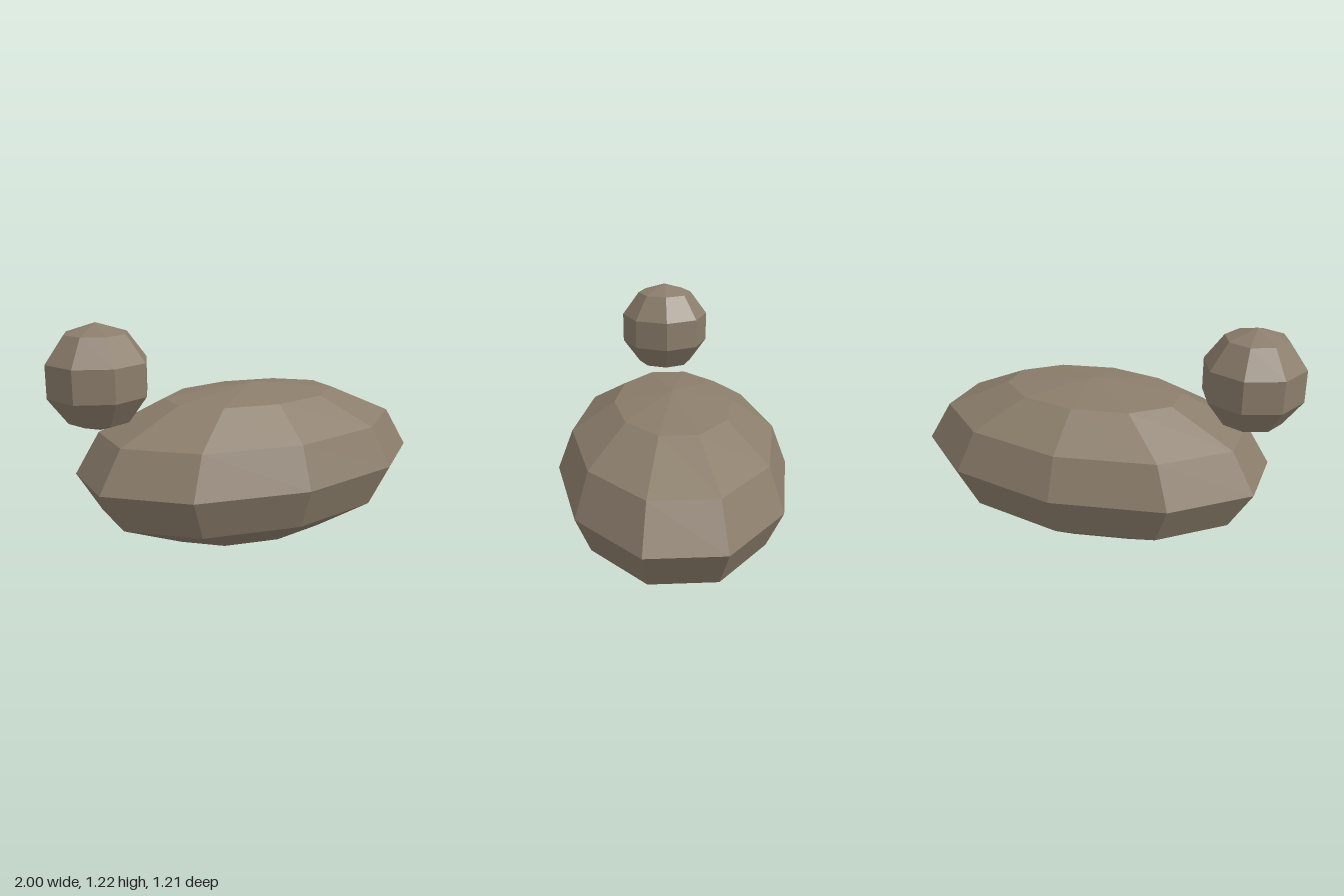
import * as THREE from 'three';

const stone = new THREE.MeshStandardMaterial({ color: 0x8b7d6b, flatShading: true });
stone.name = 'stone brown';

// Faceted ellipsoid; turn rotates the facets before scaling
function boulder(name, radii, position, sides, rows, turn = 0) {
  const geometry = new THREE.SphereGeometry(1, sides, rows);
  geometry.rotateY(turn).scale(...radii);
  const mesh = new THREE.Mesh(geometry, stone);
  mesh.name = name;
  mesh.position.set(...position);
  return mesh;
}

export function createModel() {
  const group = new THREE.Group();
  group.name = 'boulders';
  // Wide, low stone with corners on the z axis
  group.add(boulder('largeStone', [0.962, 0.422, 0.603], [0.083, 0.422, 0], 10, 6, Math.PI / 2));
  // Small round stone above its right end
  group.add(boulder('smallStone', [0.263, 0.262, 0.263], [-0.75, 0.953, 0], 8, 5));
  return group;
}
